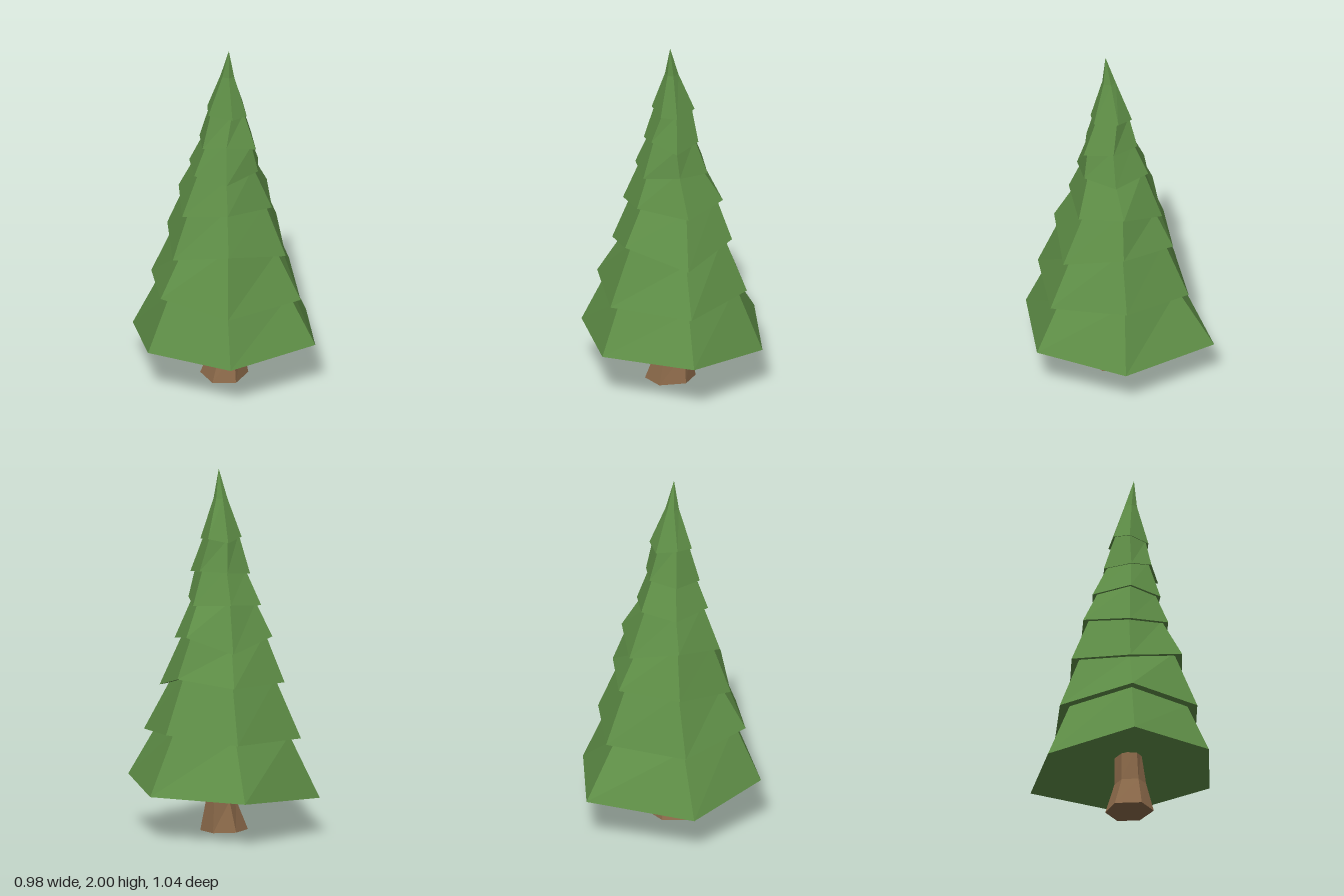
import * as THREE from 'three';

const SIDES = 6;

// Skins a stack of six-point rings, bottom to top, with flat facets.
// Rings run clockwise as seen from above; a ring may collapse to a point.
function loft(rings) {
  const positions = [];
  const addTriangle = (a, b, c) => {
    if (new THREE.Triangle(a, b, c).getArea() < 1e-7) return;
    for (const p of [a, b, c]) positions.push(p.x, p.y, p.z);
  };
  for (let r = 0; r < rings.length - 1; r++) {
    const low = rings[r];
    const high = rings[r + 1];
    for (let i = 0; i < SIDES; i++) {
      const j = (i + 1) % SIDES;
      addTriangle(low[j], low[i], high[i]);
      addTriangle(low[j], high[i], high[j]);
    }
  }
  const geometry = new THREE.BufferGeometry();
  geometry.setAttribute('position', new THREE.Float32BufferAttribute(positions, 3));
  geometry.computeVertexNormals();
  return geometry;
}

const ring = (points) => points.map(([x, y, z]) => new THREE.Vector3(x, y, z));
const level = (y, points) => points.map(([x, z]) => new THREE.Vector3(x, y, z));
const point = (x, y, z) => Array.from({ length: SIDES }, () => new THREE.Vector3(x, y, z));

function centre(points) {
  const c = new THREE.Vector3();
  points.forEach((p) => c.add(p));
  return c.divideScalar(points.length);
}

// Shrinks a rim about its centre and lifts it, to tuck one tier into the next
function tuck(points, scale, lift) {
  const c = centre(points);
  return points.map((p) => new THREE.Vector3(
    c.x + (p.x - c.x) * scale, p.y + lift, c.z + (p.z - c.z) * scale));
}

// Uneven lower rims of the branch tiers: back, back left, front left, front, front right, back right
const rims = [
  ring([[0.055, 0.24, -0.52], [0.485, 0.285, -0.24], [0.41, 0.27, 0.295],
    [-0.03, 0.275, 0.52], [-0.475, 0.2, 0.27], [-0.49, 0.24, -0.34]]),
  ring([[0.025, 0.575, -0.425], [0.4, 0.54, -0.205], [0.35, 0.545, 0.265],
    [-0.03, 0.58, 0.432], [-0.4, 0.53, 0.2], [-0.365, 0.54, -0.265]]),
  ring([[0.02, 0.875, -0.34], [0.318, 0.79, -0.167], [0.275, 0.88, 0.2],
    [-0.03, 0.79, 0.347], [-0.328, 0.84, 0.145], [-0.29, 0.84, -0.215]]),
  ring([[0.005, 1.1, -0.285], [0.225, 1.06, -0.145], [0.205, 1.09, 0.15],
    [-0.025, 1.04, 0.285], [-0.26, 1.09, 0.12], [-0.24, 1.02, -0.17]]),
  ring([[0.03, 1.265, -0.205], [0.178, 1.285, -0.085], [0.165, 1.255, 0.125],
    [-0.01, 1.275, 0.212], [-0.205, 1.26, 0.09], [-0.175, 1.28, -0.12]]),
  ring([[0.03, 1.45, -0.153], [0.178, 1.425, -0.07], [0.12, 1.46, 0.09],
    [0, 1.43, 0.162], [-0.14, 1.43, 0.07], [-0.12, 1.45, -0.09]]),
  ring([[-0.005, 1.63, -0.123], [0.117, 1.61, -0.055], [0.11, 1.61, 0.04],
    [-0.003, 1.62, 0.118], [-0.085, 1.63, 0.06], [-0.098, 1.61, -0.06]]),
];

export function createModel() {
  const needleGreen = new THREE.MeshStandardMaterial({ color: 0x5f8f47, flatShading: true });
  needleGreen.name = 'needleGreen';
  const barkBrown = new THREE.MeshStandardMaterial({ color: 0x8c6a4a, flatShading: true });
  barkBrown.name = 'barkBrown';

  const tree = new THREE.Group();
  tree.name = 'pineTree';
  const add = (name, geometry, material) => {
    const mesh = new THREE.Mesh(geometry, material);
    mesh.name = name;
    tree.add(mesh);
  };

  // Trunk, flaring towards the ground
  add('trunk', loft([
    point(0, 0, 0),
    level(0, [[-0.04, -0.12], [0.08, -0.095], [0.14, 0.04], [0.06, 0.14], [-0.085, 0.11], [-0.12, -0.02]]),
    level(0.17, [[-0.03, -0.1], [0.05, -0.08], [0.1, 0.02], [0.05, 0.08], [-0.04, 0.06], [-0.07, -0.02]]),
    level(0.36, [[-0.02, -0.055], [0.04, -0.035], [0.07, 0.03], [0.04, 0.075], [-0.04, 0.055], [-0.07, -0.01]]),
  ]), barkBrown);

  // Branch tiers: shallow hollow underside, sloping skirt, top hidden in the next tier
  rims.forEach((rim, i) => {
    const c = centre(rim);
    const underside = point(c.x, c.y + (i === 0 ? 0.09 : 0.04), c.z);
    const last = i === rims.length - 1;
    const upper = last
      // Crown: a narrow waist below the leaning tip
      ? [level(1.84, [[0.015, -0.037], [0.052, -0.018], [0.05, 0.016], [0.018, 0.038], [-0.016, 0.02], [-0.018, -0.018]]),
        point(0.035, 2, 0.005)]
      : [tuck(rims[i + 1], 0.85, 0.015)];
    add(last ? 'crown' : `branchTier${i + 1}`, loft([underside, rim, ...upper]), needleGreen);
  });

  return tree;
}
